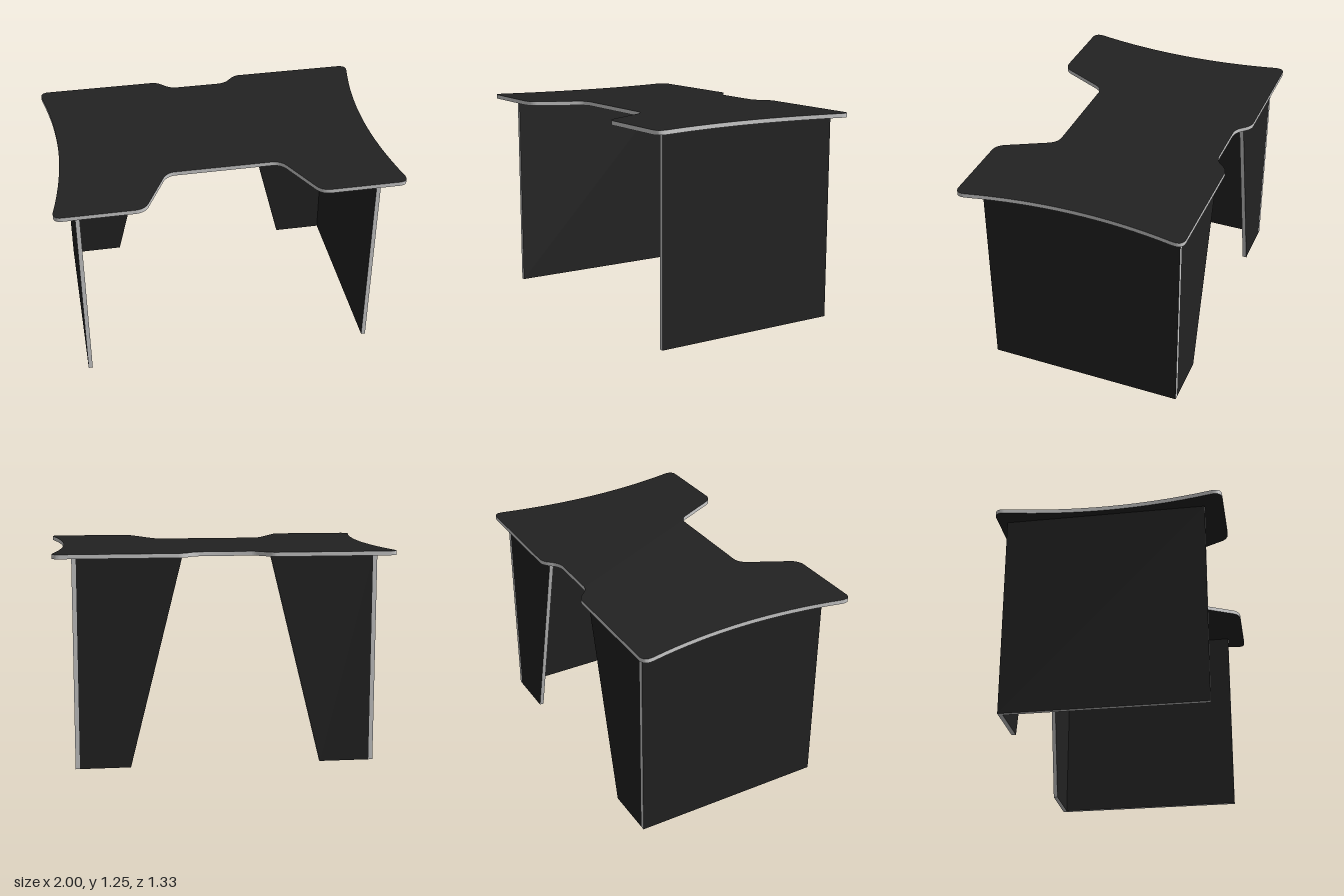
import * as THREE from 'three';
import { toCreasedNormals } from 'three/addons/utils/BufferGeometryUtils.js';

const BOARD = 0.025;   // board thickness
const TOP = 1.25;      // height of the work surface
const LEG = TOP - BOARD;

export function createModel() {
  const desk = new THREE.Group();
  desk.name = 'desk';
  const face = new THREE.MeshStandardMaterial({ color: 0x222222 });
  const edge = new THREE.MeshStandardMaterial({ color: 0xcccccc });

  const add = (name, geometry, materials) => {
    const mesh = new THREE.Mesh(geometry, materials);
    mesh.name = name;
    desk.add(mesh);
    return mesh;
  };
  // Board cut from a shape: dark faces, pale cut edges
  const cutBoard = (shape) => toCreasedNormals(
    new THREE.ExtrudeGeometry(shape, { depth: BOARD, bevelEnabled: false, curveSegments: 16 }), 0.6);

  // Desktop outline: the right half as [end x, z, control x, z], then mirrored
  const half = [
    [0.14, -0.585],
    [0.205, -0.617, 0.175, -0.588],
    [0.28, -0.667, 0.245, -0.665],
    [0.94, -0.667],
    [0.986, -0.6, 1.0, -0.667],
    [0.997, 0.6, 0.86, 0],
    [0.95, 0.663, 1.01, 0.663],
    [0.55, 0.663],
    [0.472, 0.61, 0.495, 0.66],
    [0.362, 0.395],
    [0.28, 0.34, 0.335, 0.34],
  ];
  const outline = new THREE.Shape();
  outline.moveTo(-half[0][0], half[0][1]);
  for (const [x, z, cx, cz] of half) {
    if (cx === undefined) outline.lineTo(x, z);
    else outline.quadraticCurveTo(cx, cz, x, z);
  }
  for (let i = half.length - 1; i >= 0; i--) {
    const [x, z] = half[i];
    const next = half[i + 1];
    if (next && next.length === 4) outline.quadraticCurveTo(-next[2], next[3], -x, z);
    else outline.lineTo(-x, z);
  }
  add('desktop', cutBoard(outline).rotateX(Math.PI / 2), [face, edge]).position.y = TOP;

  for (const side of [1, -1]) {
    const label = side > 0 ? 'left' : 'right';

    // Full-depth side panel
    const panel = add(label + 'SidePanel', new THREE.BoxGeometry(BOARD, LEG, 1.17),
      [face, face, edge, edge, edge, edge]);
    panel.position.set(side * 0.8675, LEG / 2, -0.03);

    // Tapered back panel, wider at the top
    const taper = new THREE.Shape([[0.855, 0], [0.855, LEG], [0.255, LEG], [0.56, 0]]
      .map(([x, y]) => new THREE.Vector2(side * x, y)));
    add(label + 'BackPanel', cutBoard(taper), [face, edge]).position.z = -0.615;
  }
  return desk;
}
